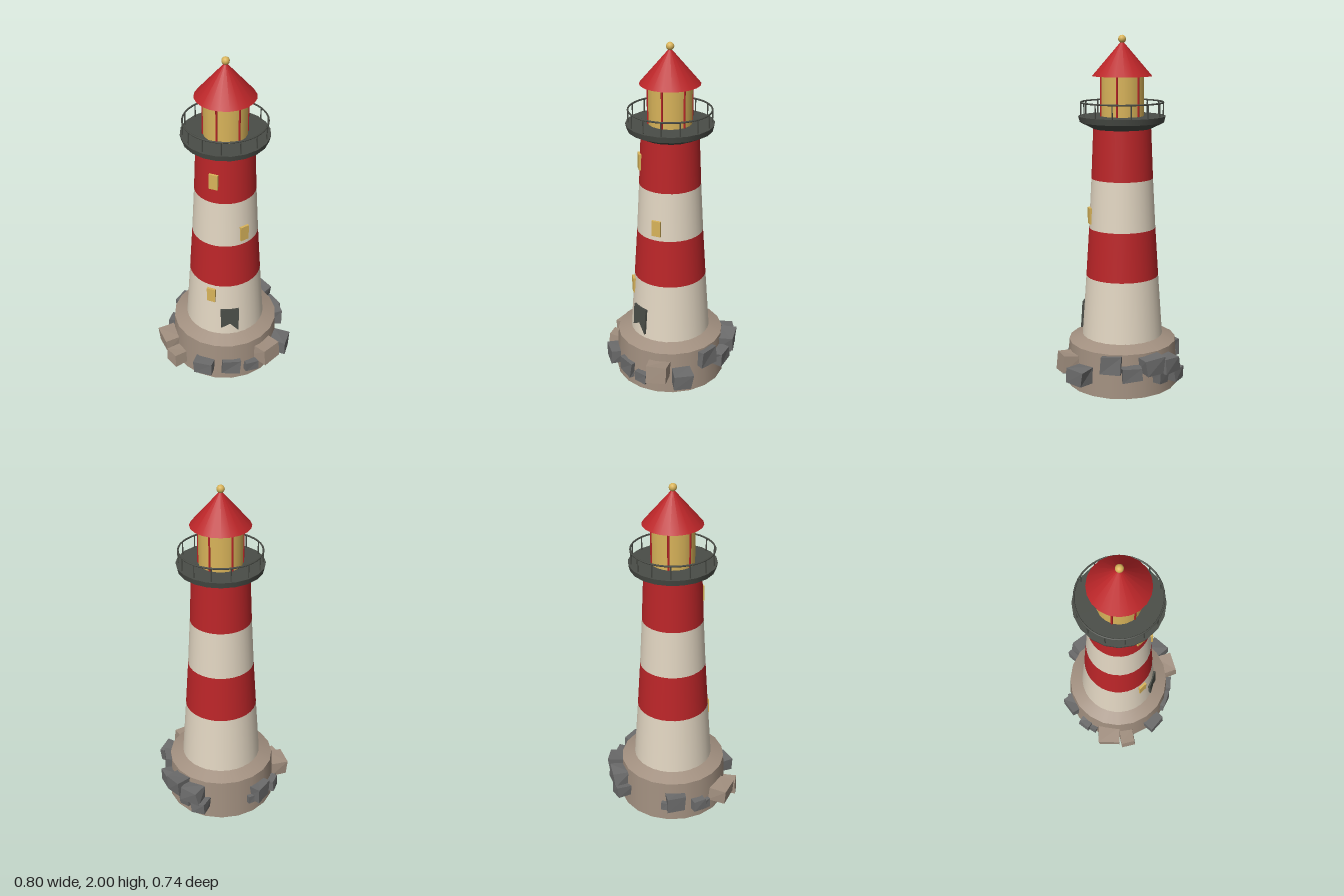
import * as THREE from 'three';

const mat = (name, color, extra = {}) => {
  const m = new THREE.MeshStandardMaterial({ color, ...extra });
  m.name = name;
  return m;
};

export function createModel() {
  const red = mat('red paint', 0xbb2528);
  const cream = mat('cream paint', 0xe2d6c2);
  const stone = mat('tan stone', 0xa29080, { side: THREE.DoubleSide });
  const tanRock = mat('tan rock', 0xa29080, { flatShading: true });
  const greyRock = mat('grey rock', 0x6c6c6c, { flatShading: true });
  const dark = mat('dark iron', 0x4a4d47);
  const gold = mat('warm glass', 0xd9b45a);

  const model = new THREE.Group();
  model.name = 'lighthouse';
  const body = new THREE.Group();
  body.name = 'lighthouseBody';
  body.position.set(0.007, 0, 0.01);
  model.add(body);

  const add = (name, geo, material, x = 0, y = 0, z = 0, parent = body) => {
    const mesh = new THREE.Mesh(geo, material);
    mesh.name = name;
    mesh.position.set(x, y, z);
    parent.add(mesh);
    return mesh;
  };
  // Frustum between two heights
  const frustum = (name, material, r0, y0, r1, y1, open = true, sides = 20) =>
    add(name, new THREE.CylinderGeometry(r1, r0, y1 - y0, sides, 1, open), material, 0, (y0 + y1) / 2, 0);

  // Foundation, open underneath
  frustum('foundationWall', stone, 0.323, 0, 0.311, 0.255);
  frustum('foundationShoulder', stone, 0.311, 0.255, 0.228, 0.29);

  // Tapering striped tower
  const bands = [[0.233, 0.283], [0.208, 0.638], [0.19, 0.919], [0.175, 1.203], [0.163, 1.487]];
  for (let i = 0; i < 4; i++) {
    const [r0, y0] = bands[i], [r1, y1] = bands[i + 1];
    frustum('towerBand', i % 2 ? red : cream, r0, y0, r1, y1, true, 32);
  }
  add('towerFloor', new THREE.CircleGeometry(0.233, 32).rotateX(Math.PI / 2), cream, 0, 0.283, 0);
  const towerRadius = (y) => {
    const i = Math.max(1, bands.findIndex((b) => b[1] > y));
    const [r0, y0] = bands[i - 1], [r1, y1] = bands[i];
    return r0 + ((r1 - r0) * (y - y0)) / (y1 - y0);
  };

  // Windows around the front of the tower
  for (const [deg, y] of [[-29, 1.34], [27, 0.993], [-29, 0.57]]) {
    const a = THREE.MathUtils.degToRad(deg), r = towerRadius(y);
    const w = add('window', new THREE.BoxGeometry(0.052, 0.092, 0.02), gold, Math.sin(a) * r, y, Math.cos(a) * r);
    w.rotation.y = a;
  }

  // Notched door plate leaning with the wall
  const doorShape = new THREE.Shape([
    [-0.054, 0.08], [-0.052, -0.052], [0, -0.025], [0.052, -0.08], [0.053, 0.08],
  ].map(([x, y]) => new THREE.Vector2(x, y)));
  const door = add('door', new THREE.ExtrudeGeometry(doorShape, { depth: 0.014, bevelEnabled: false }),
    dark, 0, 0.392, 0.218);
  door.rotation.x = -0.068;

  // Gallery deck and railing
  frustum('galleryFlare', dark, 0.163, 1.485, 0.238, 1.522);
  frustum('galleryDeck', dark, 0.238, 1.522, 0.246, 1.555, false);
  add('railing', new THREE.TorusGeometry(0.231, 0.005, 6, 40).rotateX(Math.PI / 2), dark, 0, 1.631, 0);
  for (let i = 0; i < 14; i++) {
    const a = (i / 14) * Math.PI * 2;
    add('railingPost', new THREE.CylinderGeometry(0.004, 0.004, 0.08, 6), dark,
      Math.cos(a) * 0.231, 1.592, Math.sin(a) * 0.231);
  }

  // Lamp room with six mullions
  frustum('lampGlass', gold, 0.122, 1.55, 0.122, 1.78);
  for (let i = 0; i < 6; i++) {
    const a = (i / 6) * Math.PI * 2;
    add('mullion', new THREE.CylinderGeometry(0.006, 0.006, 0.225, 6), red,
      Math.cos(a) * 0.122, 1.667, Math.sin(a) * 0.122);
  }

  // Roof and finial
  add('roof', new THREE.ConeGeometry(0.168, 0.195, 20), red, 0, 1.873, 0);
  add('finial', new THREE.SphereGeometry(0.022, 14, 10), gold, 0, 1.978, 0);

  // Rocks: boxes with nudged corners set around the foundation
  let seed = 7;
  const rand = () => {
    seed = (seed * 16807) % 2147483647;
    return seed / 2147483647 - 0.5;
  };
  const rockGeometry = (w, h, d) => {
    const geo = new THREE.BoxGeometry(w, h, d);
    const p = geo.attributes.position;
    const nudges = Array.from({ length: 8 }, () => [rand(), rand(), rand()]);
    for (let i = 0; i < p.count; i++) {
      const n = nudges[(p.getX(i) > 0 ? 1 : 0) + (p.getY(i) > 0 ? 2 : 0) + (p.getZ(i) > 0 ? 4 : 0)];
      p.setXYZ(i, p.getX(i) + n[0] * w * 0.16, p.getY(i) + n[1] * h * 0.16, p.getZ(i) + n[2] * d * 0.16);
    }
    geo.computeVertexNormals();
    return geo;
  };
  // x, y, z, width, height, depth, tan
  const rocks = [
    [-0.34, 0.12, 0.06, 0.13, 0.09, 0.1, 1],
    [-0.305, 0.08, 0.17, 0.09, 0.075, 0.1, 1],
    [-0.152, 0.105, 0.295, 0.115, 0.08, 0.09, 0],
    [0.002, 0.102, 0.3, 0.11, 0.085, 0.09, 0],
    [0.12, 0.088, 0.303, 0.07, 0.06, 0.075, 0],
    [0.215, 0.16, 0.273, 0.12, 0.1, 0.11, 1],
    [0.318, 0.118, 0.177, 0.11, 0.09, 0.11, 0],
    [0.312, 0.2, -0.002, 0.115, 0.09, 0.08, 0],
    [0.308, 0.155, -0.115, 0.11, 0.08, 0.1, 0],
    [0.262, 0.2, -0.218, 0.11, 0.09, 0.1, 0],
    [0.178, 0.178, -0.283, 0.12, 0.085, 0.1, 0],
    [0.128, 0.11, -0.308, 0.09, 0.07, 0.1, 0],
    [0.21, 0.112, -0.255, 0.07, 0.065, 0.08, 0],
    [-0.215, 0.14, -0.22, 0.11, 0.1, 0.09, 0],
    [-0.165, 0.11, -0.255, 0.05, 0.05, 0.05, 0],
    [-0.288, 0.1, -0.11, 0.075, 0.07, 0.075, 0],
    [-0.295, 0.08, -0.055, 0.06, 0.055, 0.06, 0],
  ];
  for (const [x, y, z, w, h, d, tan] of rocks) {
    const rock = add('rock', rockGeometry(w, h, d), tan ? tanRock : greyRock, x, y, z, model);
    rock.rotation.set(0, Math.atan2(x, z) + rand() * 0.15, rand() * 0.15);
  }

  return model;
}
